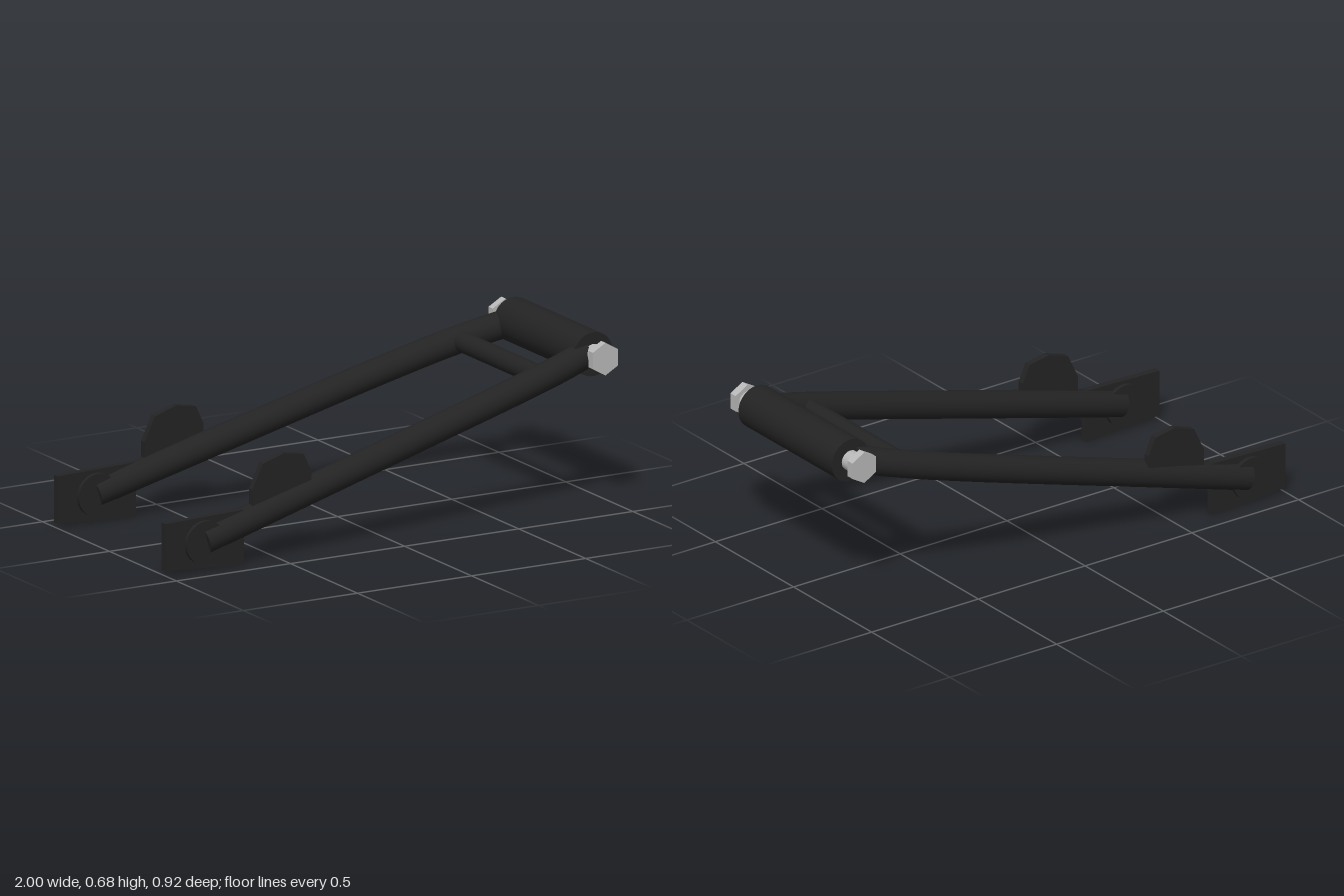
import * as THREE from 'three';

export function createModel() {
  const model = new THREE.Group();
  model.name = 'swingarm';

  const black = new THREE.MeshStandardMaterial({ color: 0x232323 });
  black.name = 'black paint';
  const steel = new THREE.MeshStandardMaterial({ color: 0xb8b8b8 });
  steel.name = 'steel';

  const add = (name, geometry, material) => {
    const mesh = new THREE.Mesh(geometry, material);
    mesh.name = name;
    model.add(mesh);
    return mesh;
  };

  // Cylinder along z between two depths
  const rod = (name, x, y, z0, z1, r, sides, material) => {
    const g = new THREE.CylinderGeometry(r, r, z1 - z0, sides);
    const geometry = sides < 8 ? g.toNonIndexed() : g;
    if (sides < 8) geometry.computeVertexNormals();
    geometry.rotateX(Math.PI / 2).translate(x, y, (z0 + z1) / 2);
    return add(name, geometry, material);
  };

  // Flat plate in the xy plane, centred on depth z
  const plate = (name, points, z, depth) => {
    const shape = new THREE.Shape(points.map(([x, y]) => new THREE.Vector2(x, y)));
    const g = new THREE.ExtrudeGeometry(shape, { depth, bevelEnabled: false });
    return add(name, g.translate(0, 0, z - depth / 2), black);
  };

  // Arm height follows one straight slope from axle to pivot
  const armY = (x) => 0.115 + (x + 0.83) * 0.279;
  const armRadius = 0.054;

  const arm = (name, points) => {
    const path = new THREE.CatmullRomCurve3(points.map(([x, z]) => new THREE.Vector3(x, armY(x), z)));
    add(name, new THREE.TubeGeometry(path, 40, armRadius, 28), black);
    // Flat caps on both ends
    for (const t of [0, 1]) {
      const cap = add(name + 'Cap', new THREE.CircleGeometry(armRadius, 28), black);
      const out = path.getTangentAt(t).multiplyScalar(t ? 1 : -1);
      cap.position.copy(path.getPointAt(t));
      cap.quaternion.setFromUnitVectors(new THREE.Vector3(0, 0, 1), out);
    }
  };
  arm('leftArm', [[-0.825, 0.402], [-0.3, 0.388], [0.2, 0.375], [0.62, 0.362], [0.77, 0.35], [0.89, 0.328]]);
  arm('rightArm', [[-0.825, -0.406], [-0.3, -0.37], [0.2, -0.337], [0.46, -0.314], [0.62, -0.294], [0.77, -0.262], [0.89, -0.226]]);

  // Axle plates, bosses and gussets on both arms
  for (const [side, z] of [['left', 0.403], ['right', -0.402]]) {
    plate(side + 'AxlePlate', [[-1, 0.023], [-0.655, 0.005], [-0.655, 0.218], [-1, 0.208]], z, 0.028);
    rod(side + 'AxleBoss', -0.83, 0.115, z - 0.03, z + 0.03, 0.085, 32, black);
    plate(side + 'Gusset', [
      [-0.618, 0.17], [-0.36, 0.245], [-0.36, 0.33], [-0.392, 0.4],
      [-0.48, 0.415], [-0.572, 0.386], [-0.618, 0.29],
    ], z, 0.027);
  }

  // Pivot tube and cross brace
  rod('pivotTube', 0.91, 0.6, -0.24, 0.358, 0.086, 40, black);
  rod('crossBrace', 0.69, armY(0.69), -0.28, 0.36, 0.04, 24, black);

  // Pivot bolt with a hex head at each end
  rod('pivotBolt', 0.91, 0.6, -0.3, 0.42, 0.04, 28, steel);
  rod('leftHexHead', 0.91, 0.602, 0.417, 0.45, 0.064, 6, steel);
  rod('rightHexHead', 0.91, 0.602, -0.33, -0.298, 0.064, 6, steel);

  return model;
}
